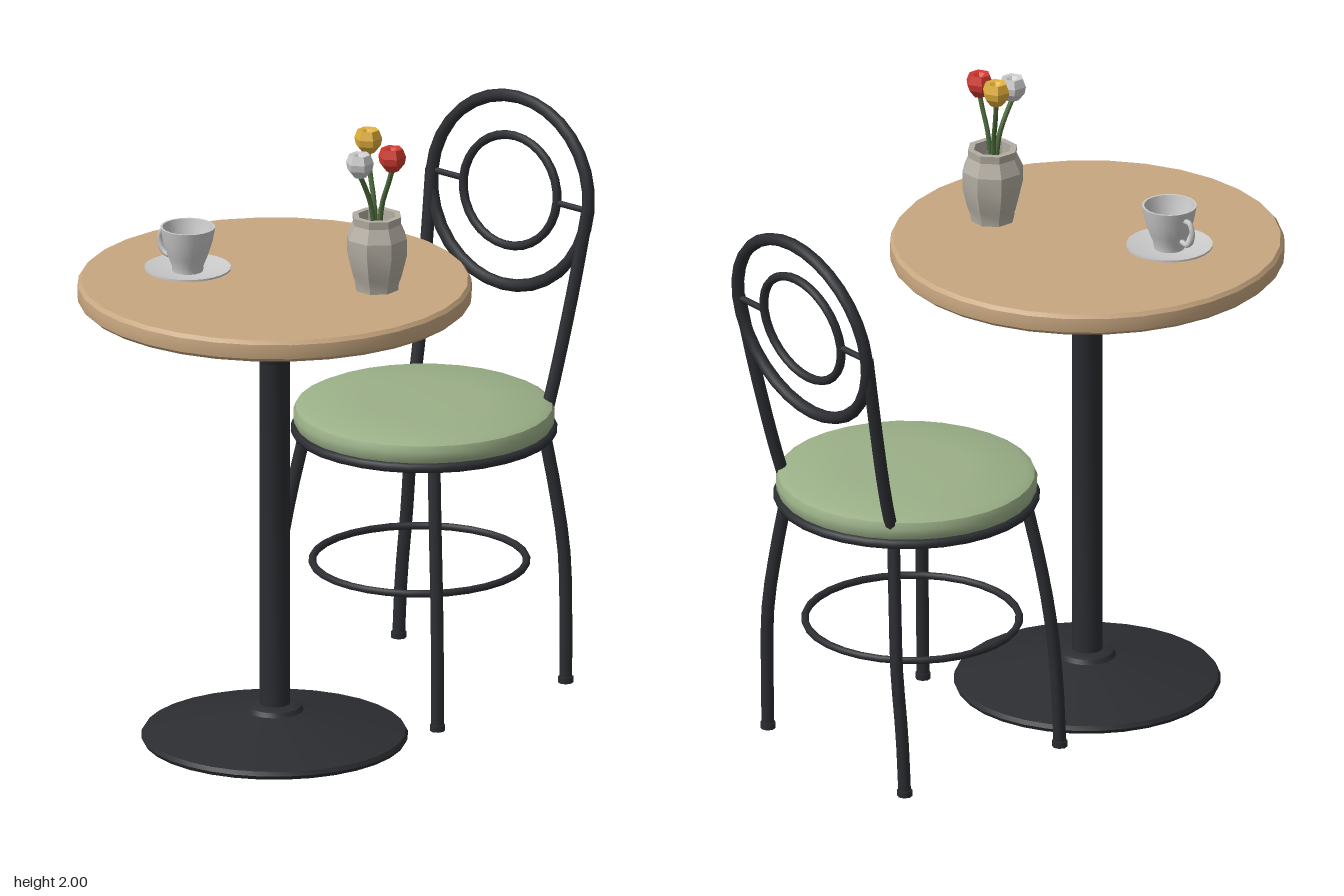
import * as THREE from 'three';
import { toCreasedNormals } from 'three/addons/utils/BufferGeometryUtils.js';

const mat = (color, side = THREE.FrontSide) => new THREE.MeshStandardMaterial({ color, side });
const metal = mat(0x2b2d31);
const wood = mat(0xc8a780);
const fabric = mat(0x9bb088);
const china = mat(0xe4e4e4, THREE.DoubleSide);
const clay = mat(0xb4aea3, THREE.DoubleSide);
const green = mat(0x4d6b3c);

function add(parent, name, geometry, material, x = 0, y = 0, z = 0) {
  const mesh = new THREE.Mesh(geometry, material);
  mesh.name = name;
  mesh.position.set(x, y, z);
  parent.add(mesh);
  return mesh;
}

function group(parent, name, x = 0, y = 0, z = 0) {
  const g = new THREE.Group();
  g.name = name;
  g.position.set(x, y, z);
  parent.add(g);
  return g;
}

// Turned part from [radius, height] pairs, bottom to top
function turned(profile, sides, crease = 0.5) {
  const points = profile.map(([r, y]) => new THREE.Vector2(r, y));
  return toCreasedNormals(new THREE.LatheGeometry(points, sides), crease);
}

// Bent round bar through a few points
function bar(points, radius, steps = 10, sides = 8) {
  const curve = new THREE.CatmullRomCurve3(points.map((p) => new THREE.Vector3(...p)));
  return new THREE.TubeGeometry(curve, steps, radius, sides);
}

// Closed oval hoop in the xy plane
function hoop(rx, ry, radius) {
  const points = [];
  for (let i = 0; i < 24; i++) {
    const a = (i / 24) * Math.PI * 2;
    points.push(new THREE.Vector3(Math.cos(a) * rx, Math.sin(a) * ry, 0));
  }
  return new THREE.TubeGeometry(new THREE.CatmullRomCurve3(points, true), 32, radius, 8, true);
}

function buildTable(root) {
  const table = group(root, 'table', 0, 0, 0.29);
  add(table, 'tabletop', turned([
    [0, 1.435], [0.6, 1.435], [0.613, 1.447], [0.616, 1.47], [0.613, 1.493], [0.603, 1.505], [0, 1.505],
  ], 32), wood);
  add(table, 'mountingPlate', turned([
    [0, 1.382], [0.13, 1.382], [0.158, 1.405], [0.158, 1.435], [0, 1.435],
  ], 24), metal);
  add(table, 'column', turned([
    [0, 0.08], [0.048, 0.08], [0.048, 1.235], [0.057, 1.255], [0.057, 1.29], [0.048, 1.31],
    [0.048, 1.364], [0, 1.364],
  ], 16), metal);
  add(table, 'base', turned([
    [0, 0], [0.41, 0], [0.416, 0.012], [0.408, 0.025], [0.25, 0.062], [0.09, 0.094],
    [0.082, 0.108], [0.066, 0.115], [0, 0.115],
  ], 32), metal);
}

function buildChair(root) {
  const chair = group(root, 'chair', 0, 0, -0.43);
  add(chair, 'seatCushion', turned([
    [0, 0.84], [0.395, 0.84], [0.406, 0.86], [0.408, 0.885], [0.4, 0.905], [0.375, 0.917], [0.2, 0.922], [0, 0.924],
  ], 32, 0.6), fabric);
  add(chair, 'seatRim', new THREE.TorusGeometry(0.4, 0.016, 8, 32), metal, 0, 0.833).rotation.x = Math.PI / 2;
  add(chair, 'footRing', new THREE.TorusGeometry(0.334, 0.012, 8, 32), metal, 0, 0.405, 0.022).rotation.x = Math.PI / 2;

  for (const s of [1, -1]) {
    // Splayed legs with small feet
    const front = [[s * 0.262, 0.83, 0.262], [s * 0.295, 0.62, 0.295], [s * 0.32, 0.42, 0.318], [s * 0.335, 0.2, 0.332], [s * 0.34, 0, 0.338]];
    const back = [[s * 0.262, 0.83, -0.262], [s * 0.295, 0.62, -0.283], [s * 0.32, 0.42, -0.296], [s * 0.335, 0.2, -0.287], [s * 0.34, 0, -0.28]];
    add(chair, 'frontLeg', bar(front, 0.02), metal);
    add(chair, 'backLeg', bar(back, 0.02), metal);
    for (const leg of [front, back]) {
      const [x, , z] = leg[leg.length - 1];
      add(chair, 'foot', new THREE.CylinderGeometry(0.024, 0.024, 0.02, 8), metal, x, 0.01, z);
    }
    // Backrest post
    add(chair, 'backPost', bar([
      [s * 0.265, 0.83, -0.262], [s * 0.278, 1.0, -0.308], [s * 0.3, 1.26, -0.365], [s * 0.318, 1.51, -0.413],
    ], 0.02), metal);
  }

  // Leaning backrest of two hoops joined at the sides
  const backrest = group(chair, 'backrest', 0, 1.505, -0.415);
  backrest.rotation.x = -0.137;
  add(backrest, 'outerHoop', hoop(0.318, 0.298, 0.02), metal);
  add(backrest, 'innerHoop', hoop(0.19, 0.174, 0.014), metal);
  for (const s of [1, -1]) {
    add(backrest, 'hoopLink', new THREE.CylinderGeometry(0.01, 0.01, 0.13, 8), metal, s * 0.254).rotation.z = Math.PI / 2;
  }
}

function buildCup(root) {
  const setting = group(root, 'cupAndSaucer', -0.24, 1.505, 0.425);
  add(setting, 'saucer', turned([
    [0, 0], [0.07, 0], [0.135, 0.018], [0.135, 0.024], [0.07, 0.01], [0, 0.01],
  ], 24), china);
  add(setting, 'cup', turned([
    [0, 0.012], [0.048, 0.012], [0.05, 0.03], [0.062, 0.06], [0.078, 0.11], [0.086, 0.155],
    [0.079, 0.155], [0.07, 0.11], [0.052, 0.055], [0.045, 0.04], [0, 0.04],
  ], 20, 0.7), china);
  add(setting, 'cupHandle', bar([
    [-0.078, 0.125, 0], [-0.1, 0.125, 0], [-0.113, 0.1, 0], [-0.108, 0.068, 0], [-0.088, 0.048, 0], [-0.06, 0.05, 0],
  ], 0.009, 14, 6), china);
}

function buildVase(root) {
  const arrangement = group(root, 'vaseOfFlowers', 0.3, 1.505, 0.153);
  const vase = new THREE.LatheGeometry([
    [0, 0], [0.07, 0], [0.072, 0.022], [0.082, 0.05], [0.098, 0.115], [0.098, 0.17], [0.078, 0.215], [0.08, 0.24],
    [0.06, 0.24], [0.06, 0.19], [0, 0.19],
  ].map(([r, y]) => new THREE.Vector2(r, y)), 8);
  vase.rotateY(Math.PI / 8);
  add(arrangement, 'vase', toCreasedNormals(vase, 0.3), clay);

  const flowers = [
    ['yellow', 0xdfae3c, -0.07, 0.458, -0.042],
    ['red', 0xd03a30, 0.06, 0.435, -0.003],
    ['white', 0xebebe8, -0.003, 0.422, 0.078],
  ];
  for (const [name, color, x, y, z] of flowers) {
    add(arrangement, name + 'Stem', bar([
      [x * 0.15, 0.18, z * 0.15], [x * 0.35, 0.28, z * 0.35], [x * 0.8, 0.36, z * 0.8], [x, y - 0.035, z],
    ], 0.008, 8, 6), green);
    add(arrangement, name + 'Flower', turned([
      [0, -0.043], [0.02, -0.038], [0.04, -0.012], [0.044, 0.01], [0.034, 0.036], [0.02, 0.033], [0, 0.015],
    ], 6, 0.3), mat(color, THREE.DoubleSide), x, y, z);
  }
}

export function createModel() {
  const root = new THREE.Group();
  root.name = 'bistroSet';
  buildTable(root);
  buildChair(root);
  buildCup(root);
  buildVase(root);
  return root;
}
